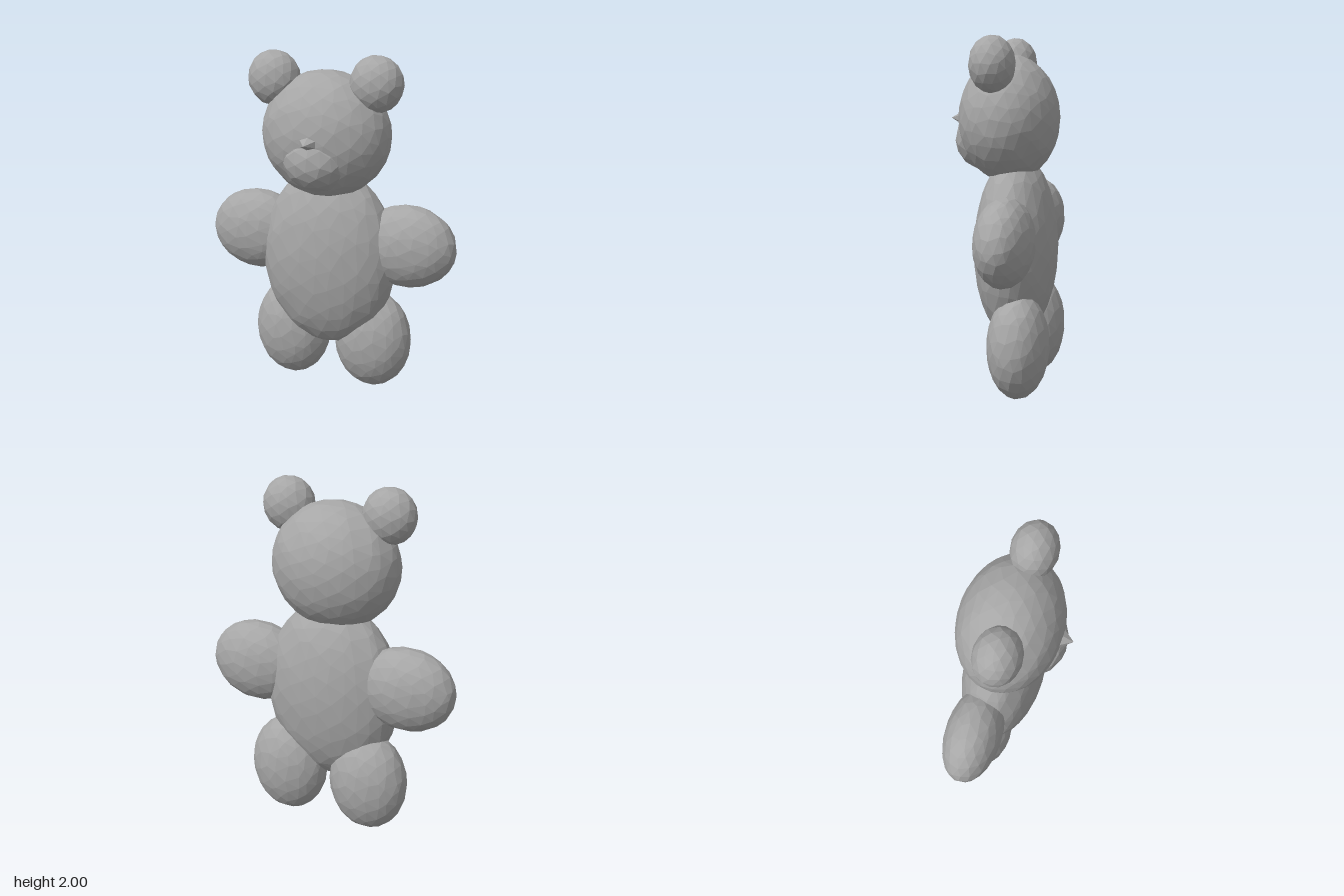
import * as THREE from 'three';

const grey = new THREE.MeshStandardMaterial({ color: 0xa6a6a6, flatShading: true });
grey.name = 'soft grey';

// Small repeatable wobble that makes the facets slightly irregular.
const wobble = (a, b, c) => Math.sin(a * 17.3 + b * 29.1 + c * 41.7);

// Faceted ellipsoid; vertices slide along the surface so the outline stays true.
function blob(name, [x, y, z], [rx, ry, rz], detail = 3, slide = 0.05) {
  const geo = new THREE.IcosahedronGeometry(1, detail);
  const p = geo.attributes.position;
  const v = new THREE.Vector3();
  for (let i = 0; i < p.count; i++) {
    v.fromBufferAttribute(p, i);
    const { x: a, y: b, z: c } = v;
    v.x += slide * wobble(a, b, c);
    v.y += slide * wobble(b, c, a);
    v.z += slide * wobble(c, a, b);
    v.normalize().multiplyScalar(1.01);
    p.setXYZ(i, v.x * rx, v.y * ry, v.z * rz);
  }
  const mesh = new THREE.Mesh(geo, grey);
  mesh.name = name;
  mesh.position.set(x, y, z);
  return mesh;
}

export function createModel() {
  const bear = new THREE.Group();
  bear.name = 'teddyBear';

  // Torso and head
  bear.add(blob('body', [0, 0.81, -0.072], [0.4, 0.53, 0.23], 4, 0.04));
  bear.add(blob('head', [0, 1.545, -0.03], [0.37, 0.355, 0.28], 4, 0.04));

  // Muzzle, with a small pointed nose above it
  bear.add(blob('muzzle', [0, 1.43, 0.1], [0.2, 0.18, 0.178], 2));
  const nose = new THREE.Mesh(new THREE.ConeGeometry(0.1, 0.12, 6), grey);
  nose.name = 'nose';
  nose.rotation.x = Math.PI / 2;
  nose.scale.z = 0.7;
  nose.position.set(0, 1.545, 0.25);
  bear.add(nose);

  // Paired ears, arms and legs
  for (const [side, s] of [['left', 1], ['right', -1]]) {
    bear.add(blob(side + 'Ear', [s * 0.3, 1.845, 0], [0.15, 0.155, 0.125], 2));
    bear.add(blob(side + 'Arm', [s * 0.465, 0.915, -0.105], [0.283, 0.24, 0.16]));
    bear.add(blob(side + 'Leg', [s * 0.255, 0.3, -0.135], [0.232, 0.297, 0.172]));
  }
  return bear;
}
